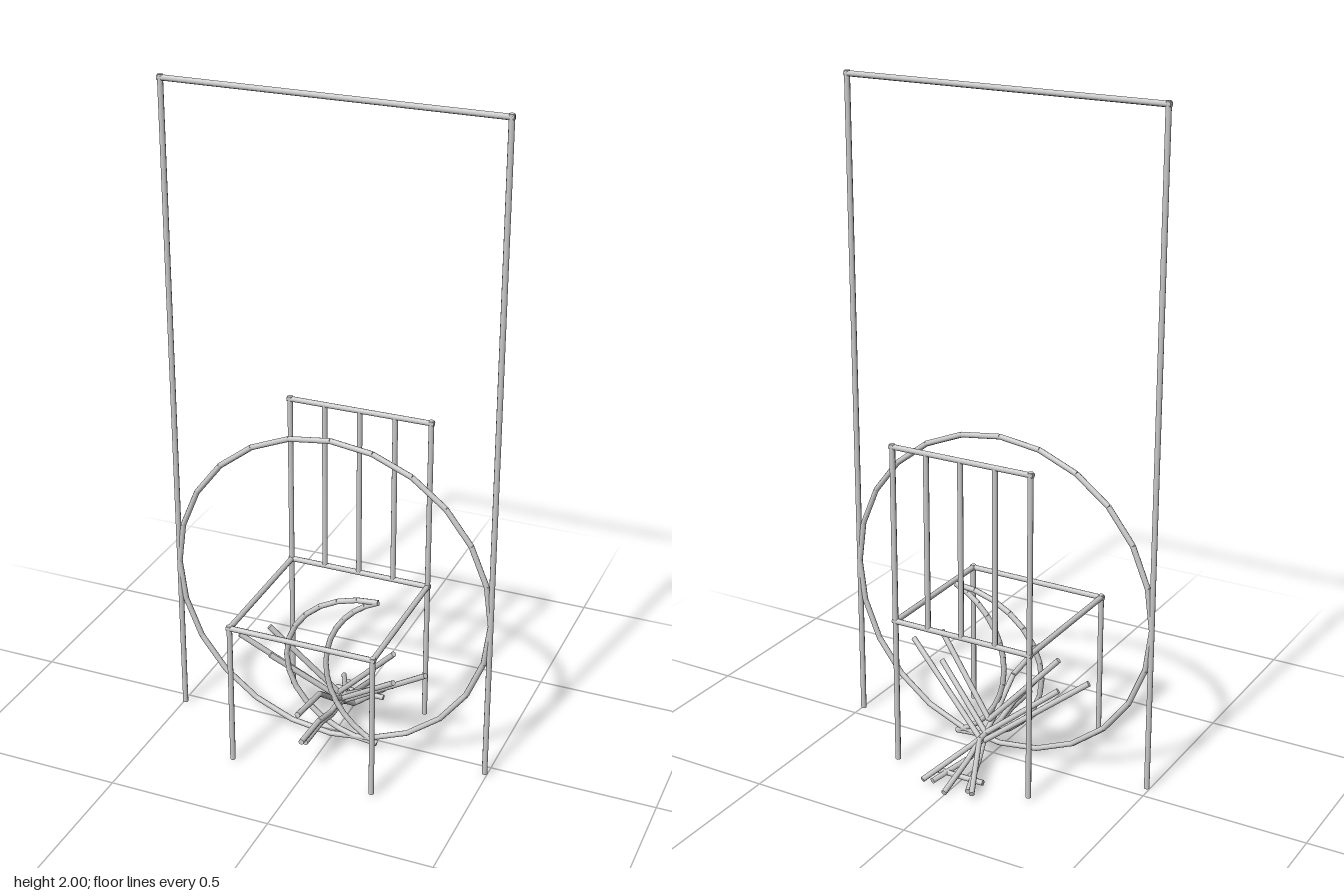
import * as THREE from 'three';

const R = 0.0085;
const steel = new THREE.MeshStandardMaterial({ color: 0xcccccc });
steel.name = 'lightSteel';

// Straight round bar between two points
function rod(parent, name, a, b) {
  const p = new THREE.Vector3(...a), q = new THREE.Vector3(...b);
  const d = q.clone().sub(p);
  const mesh = new THREE.Mesh(new THREE.CylinderGeometry(R, R, d.length(), 8), steel);
  mesh.position.copy(p).add(q).multiplyScalar(0.5);
  mesh.quaternion.setFromUnitVectors(new THREE.Vector3(0, 1, 0), d.normalize());
  mesh.name = name;
  parent.add(mesh);
}

// Chain of bars through a list of points
function chain(parent, name, pts) {
  for (let i = 1; i < pts.length; i++) rod(parent, name, pts[i - 1], pts[i]);
}

// Points on an elliptical arc in the upright plane at depth z
function arc(cx, cy, rx, ry, a0, a1, n, z) {
  return Array.from({ length: n + 1 }, (_, i) => {
    const a = a0 + (a1 - a0) * i / n;
    return [cx + rx * Math.cos(a), cy + ry * Math.sin(a), z];
  });
}

function group(parent, name) {
  const g = new THREE.Group();
  g.name = name;
  parent.add(g);
  return g;
}

export function createModel() {
  const model = new THREE.Group();
  model.name = 'wireSculpture';
  const Z = 0.039;

  // Tall gate
  const gate = group(model, 'gate');
  for (const s of [-1, 1]) rod(gate, 'gatePost', [s * 0.493, 0.005, Z], [s * 0.493, 2, Z]);
  rod(gate, 'gateLintel', [-0.501, 1.991, Z], [0.501, 1.991, Z]);

  // Ring of straight segments
  chain(group(model, 'ring'), 'ringSegment', arc(0, 0.509, 0.493, 0.493, 0, Math.PI * 2, 24, Z));

  // Chair outline
  const chair = group(model, 'chair');
  const cx = 0.222, zf = 0.262, zb = -0.182, seat = 0.461, top = 1.001;
  for (const s of [-1, 1]) {
    rod(chair, 'frontLeg', [s * cx, 0.008, zf], [s * cx, seat + R, zf]);
    rod(chair, 'backPost', [s * cx, 0.008, zb], [s * cx, top + R, zb]);
    rod(chair, 'seatSide', [s * cx, seat, zb], [s * cx, seat, zf]);
  }
  rod(chair, 'seatFront', [-cx - R, seat, zf], [cx + R, seat, zf]);
  rod(chair, 'seatBack', [-cx - R, seat, zb], [cx + R, seat, zb]);
  rod(chair, 'topRail', [-cx - R, top, zb], [cx + R, top, zb]);
  for (const x of [-0.111, 0, 0.111]) rod(chair, 'backSlat', [x, seat, zb], [x, top, zb]);

  // Crescent: two arcs sharing their tips
  const crescent = group(model, 'crescent');
  const tip = Math.atan2(0.245, 0.15 - 0.249);
  chain(crescent, 'outerArc', arc(0.15, 0.264, 0.293, 0.245, Math.PI / 2, Math.PI * 1.5, 14, Z));
  chain(crescent, 'innerArc', arc(0.249, 0.264, 0.264, 0.264, tip, Math.PI * 2 - tip, 14, Z));

  // Bird: neck and beak lines along the middle
  const bird = group(model, 'bird');
  chain(bird, 'headLine', [[0, 0.075, -0.07], [0, 0.13, 0.02], [0, 0.208, 0.12], [0, 0.235, 0.285]]);
  chain(bird, 'upperBody', [[0, 0.085, -0.08], [0, 0.092, 0.04], [0, 0.117, 0.13], [0, 0.125, 0.26]]);
  chain(bird, 'lowerBody', [[0, 0.075, -0.08], [0, 0.078, 0.03], [0, 0.1, 0.11], [0, 0.104, 0.23]]);

  for (const s of [-1, 1]) {
    // Wing feathers
    rod(bird, 'longFeather', [0, 0.07, -0.065], [s * 0.3, 0.295, Z - 0.003]);
    rod(bird, 'upperFeather', [0, 0.125, -0.025], [s * 0.2, 0.345, Z - 0.003]);
    rod(bird, 'lowerFeather', [0, 0.09, -0.045], [s * 0.2, 0.245, Z - 0.003]);
    // Tail feathers
    rod(bird, 'outerTail', [0, 0.085, -0.08], [s * 0.083, 0.02, -0.268]);
    chain(bird, 'innerTail', [[0, 0.08, -0.05], [s * 0.015, 0.035, -0.11], [s * 0.06, 0.013, -0.25]]);
  }
  chain(bird, 'middleTail', [[0, 0.085, -0.075], [0, 0.05, -0.15], [0, 0.009, -0.285]]);
  rod(bird, 'tailBar', [-0.08, 0.02, -0.197], [0.08, 0.02, -0.197]);

  return model;
}
